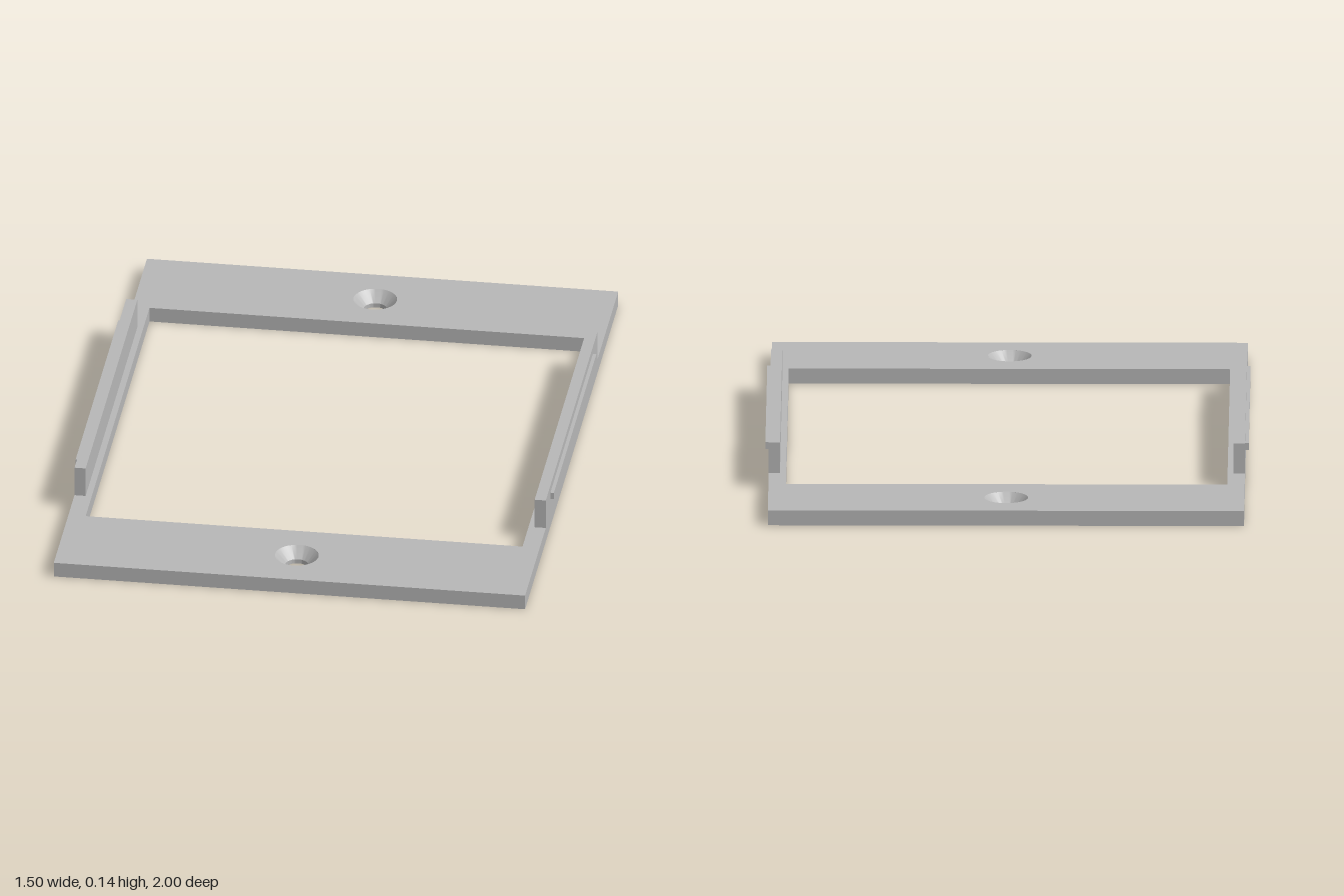
import * as THREE from 'three';
import { toCreasedNormals } from 'three/addons/utils/BufferGeometryUtils.js';

const T = 0.048;                       // plate thickness
const HOLE_Z = 0.842, R_TOP = 0.068, R_BORE = 0.036, SEGMENTS = 48;

function rectangle(target, w, d) {
  return target.moveTo(-w, -d).lineTo(w, -d).lineTo(w, d).lineTo(-w, d).closePath();
}

export function createModel() {
  const model = new THREE.Group();
  const grey = new THREE.MeshStandardMaterial({ color: 0xb8b8b8 });
  grey.name = 'plain grey';

  const add = (name, geometry, x = 0, y = 0, z = 0) => {
    const mesh = new THREE.Mesh(geometry, grey);
    mesh.name = name;
    mesh.position.set(x, y, z);
    model.add(mesh);
  };

  // Flat frame with a square window and two screw openings
  const outline = rectangle(new THREE.Shape(), 0.739, 1);
  outline.holes.push(rectangle(new THREE.Path(), 0.685, 0.685));
  for (const s of [-1, 1]) {
    outline.holes.push(new THREE.Path().absarc(0, s * HOLE_Z, R_TOP, 0, Math.PI * 2, true));
  }
  const frame = new THREE.ExtrudeGeometry(outline, { depth: T, bevelEnabled: false, curveSegments: SEGMENTS });
  frame.rotateX(-Math.PI / 2);
  add('basePlate', frame);

  // Countersink: cone, short bore and underside ring
  const profile = [[R_TOP, T], [R_BORE, 0.014], [R_BORE, 0], [R_TOP, 0]]
    .map(([r, y]) => new THREE.Vector2(r, y));
  const countersink = toCreasedNormals(new THREE.LatheGeometry(profile, SEGMENTS), 0.5);

  for (const s of [-1, 1]) {
    const side = s > 0 ? 'left' : 'right';
    add(s > 0 ? 'frontCountersink' : 'backCountersink', countersink, 0, 0, s * HOLE_Z);
    // Upright side wall and its outer snap rib
    add(side + 'Wall', new THREE.BoxGeometry(0.035, 0.145 - T, 1.11), s * 0.7215, (0.145 + T) / 2, 0);
    add(side + 'SnapRib', new THREE.BoxGeometry(0.012, 0.022, 0.914), s * 0.744, 0.109, 0);
  }
  return model;
}
